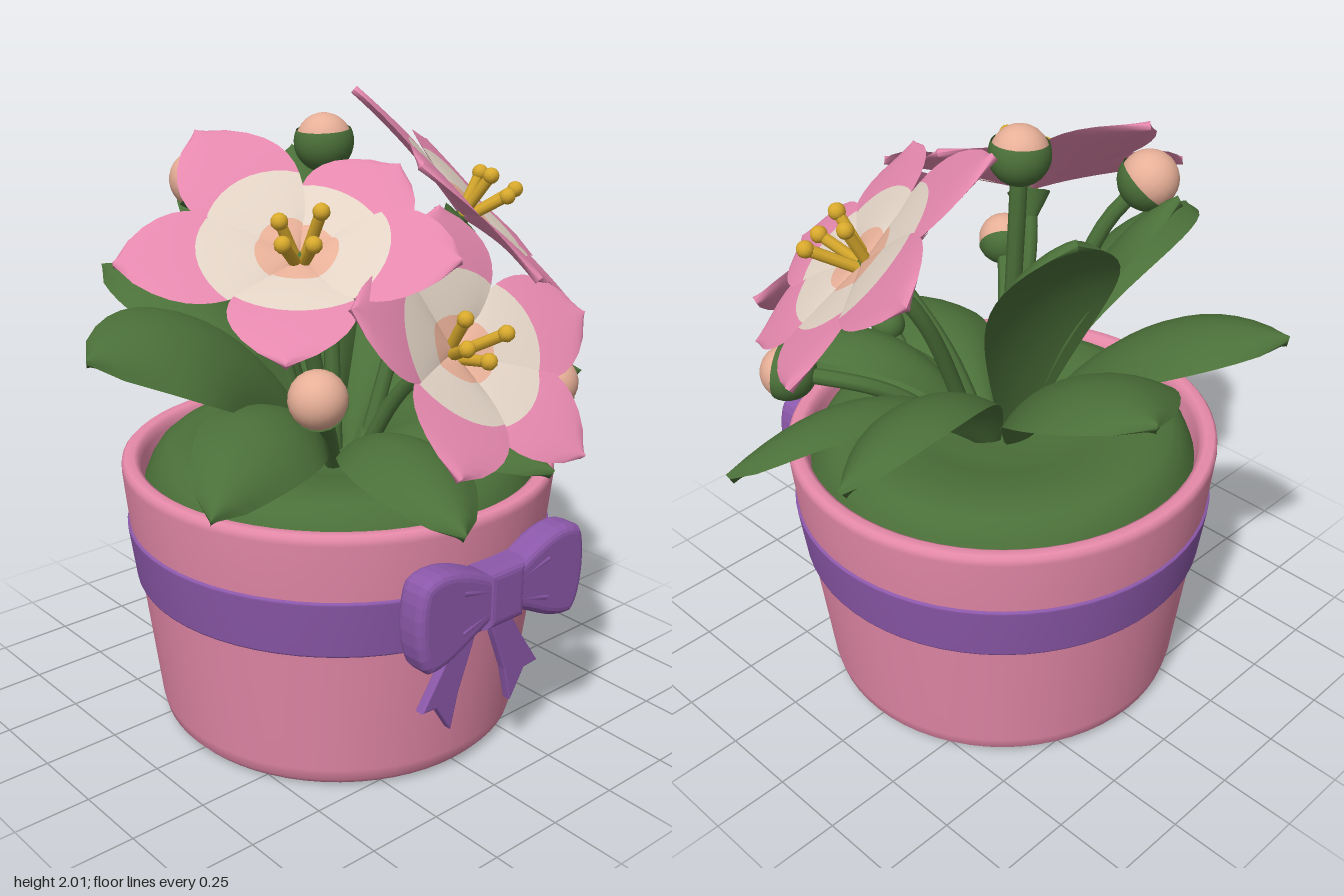
import * as THREE from 'three';

const V = (x, y, z) => new THREE.Vector3(x, y, z);
const mat = (name, color) => new THREE.MeshStandardMaterial({ name, color });

// Closed thin blade along a curve. fold lifts or drops the edges, arc bows the rows back at the
// edges, rowGroup gives a material index per upper row (the underside uses index 0)
function blade(curve, hint, width, { thick, fold, arc = 0, rowGroup = () => 0 }) {
  const rows = 16, cols = 10, pos = [], index = [];
  const geo = new THREE.BufferGeometry();
  const stride = cols + 1, half = (rows + 1) * stride;
  for (const side of [1, -1]) {
    for (let i = 0; i <= rows; i++) {
      for (let j = 0; j <= cols; j++) {
        const s = (j / cols) * 2 - 1, r = i / rows;
        const t = r - arc * s * s * 4 * r * (1 - r);
        const T = curve.getTangent(t), S = T.clone().cross(hint).normalize(), U = S.clone().cross(T);
        const w = width(t), lift = fold * w * s * s + side * thick * (1 - s * s);
        pos.push(...curve.getPoint(t).addScaledVector(S, w * s).addScaledVector(U, lift).toArray());
      }
    }
  }
  for (const side of [0, 1]) {
    for (let i = 0; i < rows; i++) {
      const start = index.length;
      for (let j = 0; j < cols; j++) {
        const a = side * half + i * stride + j, b = a + 1, c = a + stride, d = c + 1;
        if (side === 0) index.push(a, b, c, b, d, c);
        else index.push(a, c, b, b, c, d);
      }
      geo.addGroup(start, index.length - start, side === 0 ? rowGroup(i) : 0);
    }
  }
  geo.setAttribute('position', new THREE.Float32BufferAttribute(pos, 3));
  geo.setIndex(index);
  geo.computeVertexNormals();
  return geo;
}

// Rounded blade outline: zero at both ends, widest past the middle
const outline = (t, skew, round) => Math.pow(Math.max(0, Math.sin(Math.PI * Math.pow(t, skew))), round);

export function createModel() {
  const model = new THREE.Group();
  model.name = 'pottedFlowers';
  const pink = mat('pot pink', 0xe88bab), petalPink = mat('petal pink', 0xe588ae);
  const green = mat('leaf green', 0x4b7039);
  const cream = mat('petal cream', 0xe2d3c5), peach = mat('bud peach', 0xe8b098);
  const yellow = mat('stamen yellow', 0xd8a92c), purple = mat('ribbon purple', 0x8c58aa);
  green.side = THREE.DoubleSide;

  const add = (parent, name, geo, material) => {
    const m = new THREE.Mesh(geo, material);
    m.name = name;
    parent.add(m);
    return m;
  };
  const lathe = (pts) => new THREE.LatheGeometry(pts.map(([r, y]) => new THREE.Vector2(r, y)), 64);

  // Pot, moss and ribbon band
  add(model, 'pot', lathe([[0, 0], [0.545, 0], [0.57, 0.008], [0.59, 0.03], [0.6, 0.07], [0.65, 0.48],
    [0.655, 0.5], [0.682, 0.69], [0.7, 0.875], [0.698, 0.895], [0.688, 0.905], [0.66, 0.905],
    [0.645, 0.895], [0.638, 0.87], [0.625, 0.8]]), pink);
  add(model, 'moss', lathe([[0.63, 0.82], [0.61, 0.87], [0.585, 0.91], [0.55, 0.94], [0.5, 0.953],
    [0.42, 0.953], [0.32, 0.935], [0.2, 0.9], [0, 0.89]]), green);
  add(model, 'ribbonBand', lathe([[0.65, 0.5], [0.664, 0.502], [0.667, 0.508], [0.69, 0.682],
    [0.69, 0.69], [0.675, 0.693]]), purple);

  // Bow on the left side: outlines drawn sideways then turned to face +x
  const bow = new THREE.Group();
  bow.name = 'bow';
  model.add(bow);
  const puff = (shape, depth, bevel, x) => new THREE.ExtrudeGeometry(shape, {
    depth, bevelEnabled: true, bevelThickness: bevel, bevelSize: bevel, bevelOffset: -bevel,
    bevelSegments: 4, curveSegments: 8 }).rotateY(Math.PI / 2).translate(x, 0, 0);
  for (const s of [1, -1]) {
    const loop = new THREE.Shape();
    loop.moveTo(s * 0.03, 0.6);
    loop.bezierCurveTo(s * 0.12, 0.58, s * 0.2, 0.5, s * 0.3, 0.505);
    loop.bezierCurveTo(s * 0.36, 0.54, s * 0.36, 0.75, s * 0.325, 0.79);
    loop.bezierCurveTo(s * 0.25, 0.84, s * 0.14, 0.79, s * 0.03, 0.73);
    add(bow, 'bowLoop', puff(loop, 0.05, 0.028, 0.69), purple);
    for (const [y0, y1] of [[0.63, 0.6], [0.7, 0.73]]) {
      const fold = new THREE.LineCurve3(V(0.761, y0, s * 0.07), V(0.765, y1, s * 0.18));
      add(bow, 'bowPleat', new THREE.TubeGeometry(fold, 2, 0.008, 6), purple);
    }
    const tail = new THREE.Shape([[0.02, 0.56], [0.1, 0.56], [0.17, 0.44], [0.25, 0.32], [0.19, 0.315],
      [0.13, 0.22], [0.1, 0.34], [0.05, 0.47]].map(([u, y]) => new THREE.Vector2(s * u, y)));
    add(bow, 'bowTail', puff(tail, 0.02, 0.006, 0.655), purple);
  }
  const knot = new THREE.Shape([[-0.08, 0.57], [0.08, 0.57], [0.08, 0.76], [-0.08, 0.76]]
    .map(([u, y]) => new THREE.Vector2(u, y)));
  add(bow, 'bowKnot', puff(knot, 0.06, 0.028, 0.685), purple);

  // Leaves with drooping edges: tip, height of the arch control, half width
  const leaves = [
    [-0.83, 1.4, -0.26, 1.46, 0.23], [-0.81, 1.4, 0.36, 1.48, 0.2],
    [-0.48, 1.79, -0.2, 1.64, 0.19], [-0.43, 1.74, 0.3, 1.58, 0.14],
    [0, 1.38, 0.91, 1.54, 0.21], [0.43, 1.02, 0.81, 1.36, 0.17],
    [0.82, 0.94, 0.24, 1.22, 0.17], [0.7, 0.96, -0.25, 1.18, 0.15],
    [0.24, 1.02, -0.9, 1.32, 0.17], [-0.27, 1.22, -0.88, 1.46, 0.17],
    [0.6, 1.12, -0.44, 1.34, 0.13],
  ];
  for (const [x, y, z, bend, w] of leaves) {
    const r = Math.hypot(x, z);
    const curve = new THREE.QuadraticBezierCurve3(V(x / r * 0.08, 0.88, z / r * 0.08),
      V(x * 0.45, bend, z * 0.45), V(x, y, z));
    const width = (t) => w * outline(t, 1.4, 0.65) + 0.03 * (1 - t);
    // Front and back leaves roll towards the bow side
    const up = V(0.5 * (z / r) ** 2, 1, 0);
    add(model, 'leaf', blade(curve, up, width, { thick: 0.018, fold: -0.3 }), green);
  }

  const stem = (end, dir) => {
    const base = V(end.x * 0.25, 0.88, end.z * 0.25);
    const curve = new THREE.CubicBezierCurve3(base, base.clone().lerp(end, 0.4).add(V(0, 0.08, 0)),
      end.clone().addScaledVector(dir, -0.2), end);
    add(model, 'stem', new THREE.TubeGeometry(curve, 16, 0.026, 8), green);
  };
  const aim = (obj, at, dir) => {
    obj.position.copy(at);
    obj.quaternion.setFromUnitVectors(V(0, 1, 0), dir);
  };

  // Flowers: centre, facing direction, half petal width, petal tips
  const flowers = [
    [V(0.09, 1.62, -0.46), V(0.59, 1, -0.757), 0.16, [[-0.25, 2, -0.28], [-0.38, 1.77, -0.72],
      [-0.06, 1.45, -0.87], [0.34, 1.35, -0.68], [0.53, 1.51, -0.34], [0.25, 1.84, -0.11]]],
    [V(0.16, 1.6, 0.28), V(0.5, 1, 0.45), 0.18, [[0.17, 1.83, -0.1], [0.58, 1.64, 0.04],
      [0.47, 1.42, 0.58], [-0.08, 1.62, 0.76], [-0.28, 1.92, 0.33]]],
    [V(0.45, 1.32, -0.06), V(0.81, 0.58, 0), 0.17, [[0.31, 1.73, -0.12], [0.53, 1.37, -0.55],
      [0.78, 1.03, -0.29], [0.79, 1.1, 0.24], [0.48, 1.54, 0.36]]],
  ];
  const stamens = [[0.02, 0.17, -0.07], [0.08, 0.14, 0.01], [0.03, 0.15, 0.08], [-0.06, 0.13, 0.02]];
  for (const [centre, facing, halfWidth, tips] of flowers) {
    const n = facing.normalize();
    const flower = new THREE.Group();
    flower.name = 'flower';
    model.add(flower);
    tips.forEach((tip, i) => {
      const start = centre.clone().addScaledVector(n, 0.004 * (i % 2));
      const end = V(...tip);
      const mid = start.clone().lerp(end, 0.5).addScaledVector(n, 0.035);
      const width = (t) => halfWidth * outline(t, 1.2, 0.75);
      const geo = blade(new THREE.QuadraticBezierCurve3(start, mid, end), n, width, { thick: 0.014,
        fold: 0.06, arc: 0.13, rowGroup: (row) => (row < 4 ? 2 : row < 9 ? 1 : 0) });
      add(flower, 'petal', geo, [petalPink, cream, peach]);
    });
    // Stamens, green eye and calyx share the flower's axis
    const core = new THREE.Group();
    core.name = 'flowerCore';
    aim(core, centre, n);
    flower.add(core);
    add(core, 'eye', new THREE.SphereGeometry(0.028, 10, 8), green);
    add(core, 'calyx', new THREE.CylinderGeometry(0.07, 0.025, 0.08, 12), green).position.y = -0.055;
    for (const [x, h, z] of stamens) {
      const top = V(x, h, z), line = new THREE.LineCurve3(V(x * 0.2, 0, z * 0.2), top);
      add(core, 'stamen', new THREE.TubeGeometry(line, 2, 0.018, 8), yellow);
      add(core, 'anther', new THREE.SphereGeometry(0.026, 10, 8), yellow).position.copy(top);
    }
    stem(centre.clone().addScaledVector(n, -0.08), n);
  }

  // Buds: centre, facing, radius, how far the green cup climbs
  const buds = [
    [V(-0.31, 1.77, 0.3), V(-0.5, 0.7, 0.45), 0.09, 0.45], [V(-0.09, 1.88, -0.02), V(0, 1, 0.05), 0.088, 0.64],
    [V(0.42, 1.28, 0.43), V(0.6, 0.5, 0.55), 0.086, 0.4], [V(0.45, 1.13, -0.51), V(0.75, 0.05, -0.5), 0.088, 0.6],
    [V(0.52, 1.08, -0.03), V(0.7, 0.7, 0), 0.055, 0.9],
  ];
  for (const [at, facing, r, cup] of buds) {
    const dir = facing.normalize();
    const bud = new THREE.Group();
    bud.name = 'bud';
    aim(bud, at, dir);
    model.add(bud);
    add(bud, 'budPetals', new THREE.SphereGeometry(r, 20, 14), peach);
    const start = Math.PI * (1 - cup);
    add(bud, 'budCup', new THREE.SphereGeometry(r * 1.06, 20, 12, 0, Math.PI * 2, start, Math.PI - start), green);
    stem(at.clone().addScaledVector(dir, -r), dir);
  }
  return model;
}
